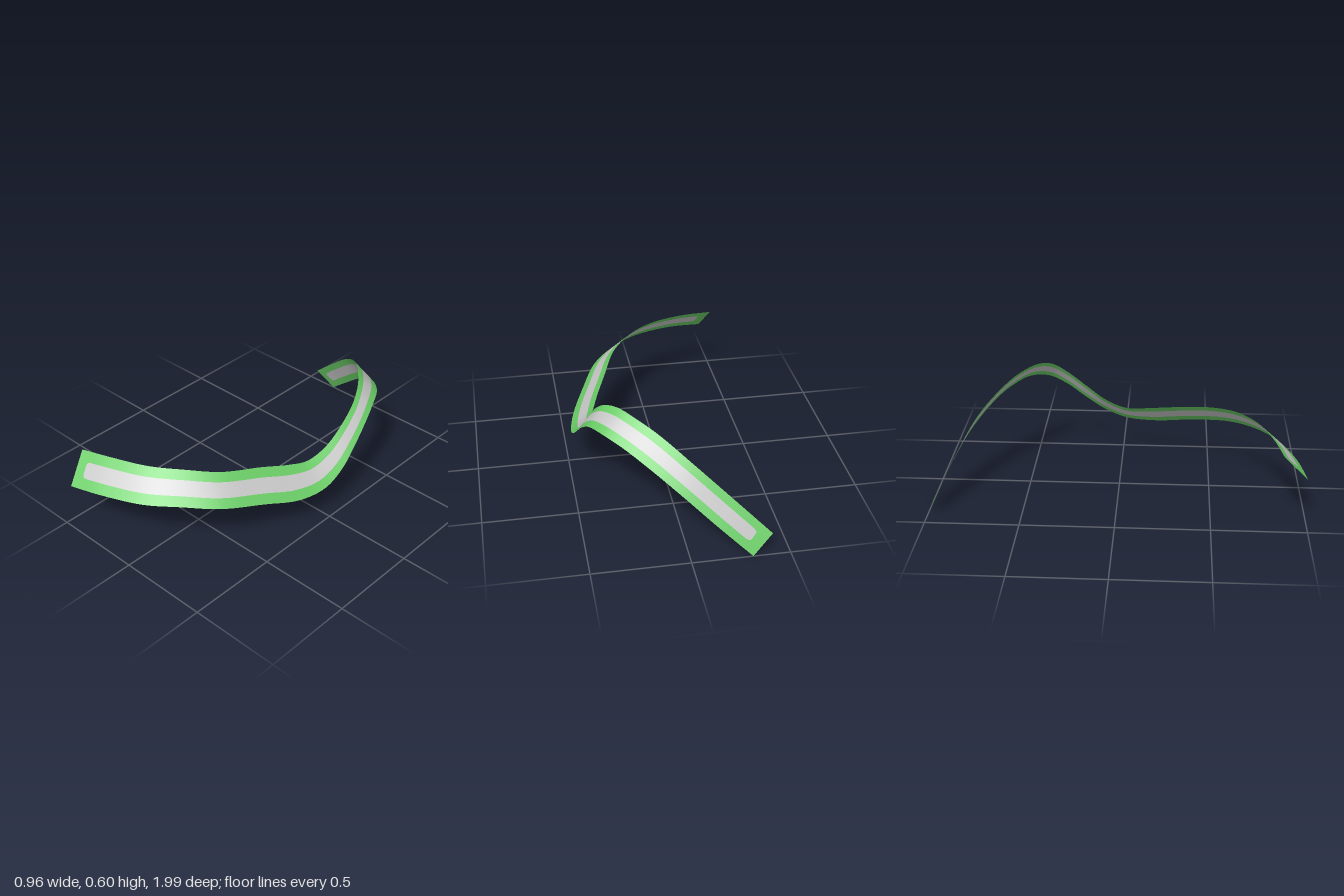
import * as THREE from 'three';

// Matching points along the two long edges of the ribbon, front end to back end
const upper = [
  [-0.48, 0.42, 0.86], [-0.3, 0.435, 0.815], [-0.1, 0.44, 0.74], [0.05, 0.433, 0.63], [0.17, 0.403, 0.49],
  [0.255, 0.361, 0.28], [0.315, 0.325, 0.13], [0.35, 0.31, 0.02], [0.372, 0.35, -0.1], [0.38, 0.43, -0.21],
  [0.37, 0.52, -0.32], [0.335, 0.58, -0.4], [0.28, 0.6, -0.47], [0.2, 0.58, -0.56], [0.1, 0.53, -0.65],
  [-0.05, 0.42, -0.77], [-0.24, 0.255, -0.875], [-0.415, 0.097, -0.96],
];
const lower = [
  [-0.435, 0.275, 0.99], [-0.25, 0.293, 0.95], [-0.02, 0.302, 0.86], [0.13, 0.301, 0.745], [0.27, 0.277, 0.595],
  [0.37, 0.235, 0.38], [0.445, 0.192, 0.19], [0.478, 0.193, 0.02], [0.48, 0.245, -0.11], [0.468, 0.325, -0.22],
  [0.45, 0.415, -0.33], [0.42, 0.475, -0.43], [0.37, 0.49, -0.53], [0.28, 0.462, -0.63], [0.18, 0.405, -0.72],
  [0.03, 0.295, -0.83], [-0.15, 0.14, -0.93], [-0.31, 0, -1],
];
const toCurve = (pts) => new THREE.CatmullRomCurve3(pts.map((p) => new THREE.Vector3(...p)), false, 'centripetal');
const upperEdge = toCurve(upper);
const lowerEdge = toCurve(lower);

// Stripe extent along the ribbon, and its half-width with rounded ends
const START = 0.017, END = 0.984, ROUND = 0.008;
const halfWidth = (u) => {
  const d = Math.min(1, Math.min(u - START, END - u) / ROUND);
  return 0.13 + 0.085 * Math.sqrt(Math.max(0, 1 - (1 - d) ** 2));
};

// Surface patch between two lengthwise positions and two crosswise limits
function patch(u0, u1, rows, v0, v1) {
  const cols = 4, pos = [], index = [];
  const us = [];
  for (let i = 0; i <= rows; i++) us.push(u0 + (u1 - u0) * i / rows);
  // extra rows to shape the rounded stripe ends
  if (rows > 20) {
    for (const f of [0.1, 0.3, 0.6, 1]) us.push(u0 + ROUND * f, u1 - ROUND * f);
    us.sort((a, b) => a - b);
  }
  us.forEach((u, i) => {
    const a = upperEdge.getPoint(u), b = lowerEdge.getPoint(u);
    for (let j = 0; j <= cols; j++) {
      const v = THREE.MathUtils.lerp(v0(u), v1(u), j / cols);
      pos.push(...a.clone().lerp(b, v).toArray());
      if (i && j) {
        const k = i * (cols + 1) + j, p = k - cols - 1;
        index.push(p - 1, k - 1, p, p, k - 1, k);
      }
    }
  });
  // face the outside of the bend
  for (let i = 0; i < index.length; i += 3) [index[i + 1], index[i + 2]] = [index[i + 2], index[i + 1]];
  const g = new THREE.BufferGeometry();
  g.setAttribute('position', new THREE.Float32BufferAttribute(pos, 3));
  g.setIndex(index);
  g.computeVertexNormals();
  return g;
}

export function createModel() {
  const green = new THREE.MeshStandardMaterial({ color: 0x6acc66, side: THREE.DoubleSide });
  green.name = 'green';
  const grey = new THREE.MeshStandardMaterial({ color: 0xc6c6c6, side: THREE.DoubleSide });
  grey.name = 'lightGrey';

  const group = new THREE.Group();
  group.name = 'ribbon';
  const add = (name, material, ...args) => {
    const mesh = new THREE.Mesh(patch(...args), material);
    mesh.name = name;
    group.add(mesh);
  };
  const zero = () => 0, one = () => 1;
  const stripeTop = (u) => 0.495 - halfWidth(u);
  const stripeBottom = (u) => 0.495 + halfWidth(u);

  // Plain ends
  add('frontEnd', green, 0, START, 3, zero, one);
  add('backEnd', green, END, 1, 3, zero, one);
  // Borders and the stripe between them
  add('upperBorder', green, START, END, 150, zero, stripeTop);
  add('lowerBorder', green, START, END, 150, stripeBottom, one);
  add('centreStripe', grey, START, END, 150, stripeTop, stripeBottom);
  return group;
}
